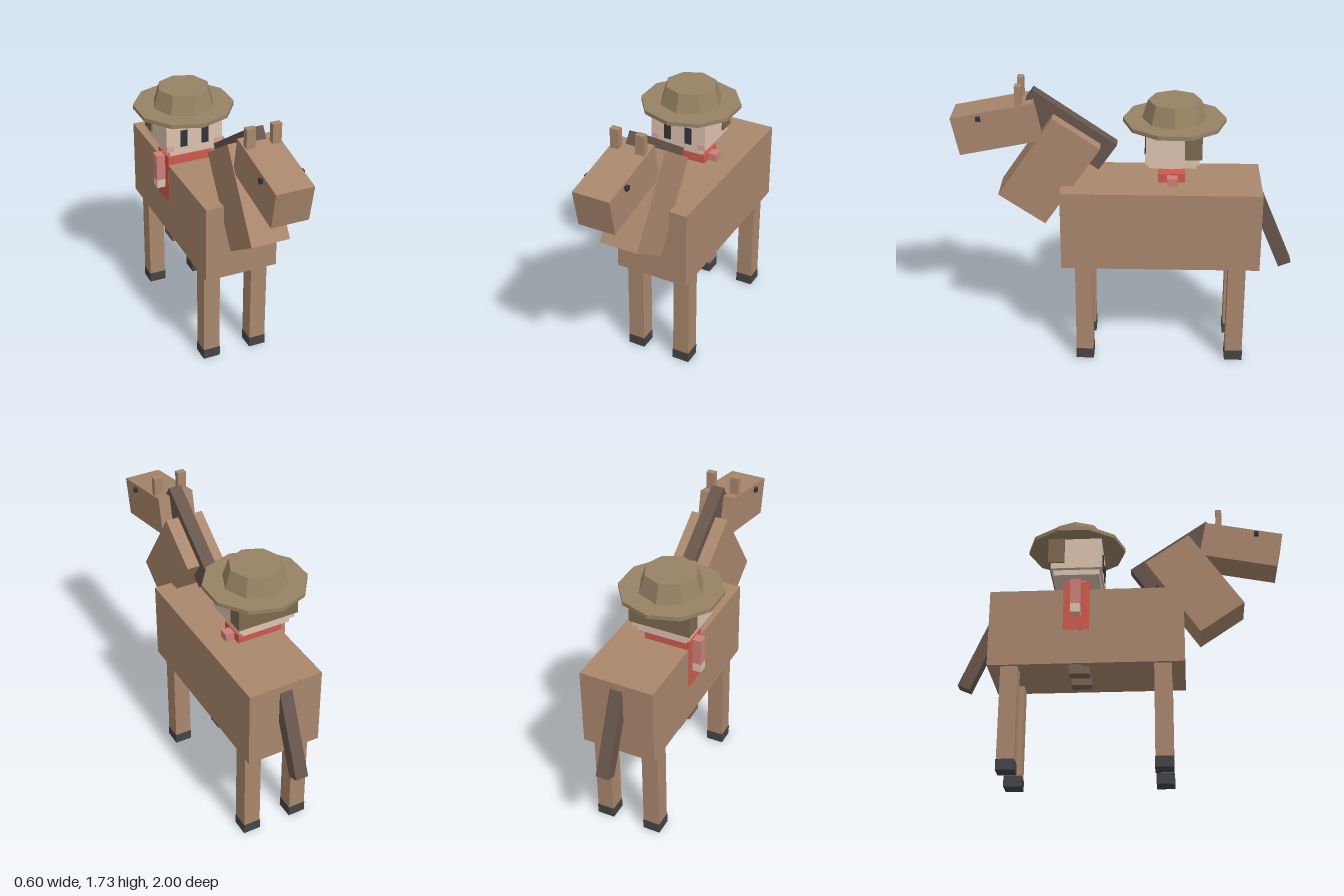
import * as THREE from 'three';

const mat = (color) => new THREE.MeshStandardMaterial({ color, flatShading: true });
const coat = mat(0xa9876d), maneHair = mat(0x67564c), hoofGrey = mat(0x454547), dark = mat(0x33343a);
const skin = mat(0xdcc3b0), hairBrown = mat(0x7d6850), shirtRed = mat(0xcf5a4e), sleeveRed = mat(0xcc807a);
const blush = mat(0xdba7a2), felt = mat(0x978264), denim = mat(0x5f7390), leather = mat(0x7a6453);

// Named box: size, centre and pitch about x
function box(parent, name, material, [w, h, d], [x, y, z], pitch = 0) {
  const mesh = new THREE.Mesh(new THREE.BoxGeometry(w, h, d), material);
  mesh.name = name;
  mesh.position.set(x, y, z);
  mesh.rotation.x = pitch;
  parent.add(mesh);
  return mesh;
}

// Faceted disc or cone section between two heights
function facets(parent, name, material, top, bottom, y0, y1, sides, z) {
  const mesh = new THREE.Mesh(new THREE.CylinderGeometry(top, bottom, y1 - y0, sides), material);
  mesh.name = name;
  mesh.position.set(0, (y0 + y1) / 2, z);
  parent.add(mesh);
}

function makeHorse() {
  const horse = new THREE.Group();
  horse.name = 'horse';
  horse.position.x = 0.073;

  box(horse, 'body', coat, [0.455, 0.485, 1.17], [0, 0.883, -0.207]);
  box(horse, 'neck', coat, [0.235, 0.582, 0.328], [0, 1.213, 0.446], -0.6);
  box(horse, 'mane', maneHair, [0.078, 0.19, 0.583], [0, 1.442, 0.345], -0.606);
  box(horse, 'head', coat, [0.224, 0.23, 0.483], [0, 1.473, 0.741], 0.2);
  box(horse, 'tail', maneHair, [0.078, 0.55, 0.08], [0, 0.835, -0.852], 0.4);

  for (const side of [-1, 1]) {
    box(horse, 'ear', coat, [0.053, 0.13, 0.037], [side * 0.077, 1.665, 0.609]);
    box(horse, 'eye', dark, [0.04, 0.027, 0.026], [side * 0.11, 1.539, 0.838]);
    for (const z of [0.247, -0.662]) {
      box(horse, 'leg', coat, [0.104, 0.6, 0.103], [side * 0.155, 0.36, z]);
      box(horse, 'hoof', hoofGrey, [0.108, 0.065, 0.108], [side * 0.155, 0.0325, z]);
    }
  }
  return horse;
}

function makeRider() {
  const rider = new THREE.Group();
  rider.name = 'rider';
  rider.position.set(-0.016, 0, -0.27);

  // Head
  box(rider, 'face', skin, [0.356, 0.204, 0.31], [0, 1.357, 0]);
  box(rider, 'jaw', skin, [0.302, 0.036, 0.28], [0, 1.239, 0]);
  box(rider, 'neck', skin, [0.136, 0.06, 0.107], [0, 1.2, 0]);
  box(rider, 'hair', hairBrown, [0.378, 0.165, 0.1], [0, 1.373, -0.12]);

  // Hat
  facets(rider, 'hatBrim', felt, 0.302, 0.302, 1.454, 1.478, 10, -0.01);
  facets(rider, 'hatCrown', felt, 0.155, 0.19, 1.478, 1.59, 8, -0.01);

  // Body, mostly sunk into the horse
  box(rider, 'torso', shirtRed, [0.28, 0.32, 0.158], [0, 1.02, 0.003]);

  for (const side of [-1, 1]) {
    box(rider, 'eye', dark, [0.043, 0.105, 0.012], [side * 0.068, 1.334, 0.156]);
    box(rider, 'cheek', blush, [0.046, 0.038, 0.008], [side * 0.155, 1.276, 0.154]);
    box(rider, 'sleeve', sleeveRed, [0.056, 0.165, 0.06], [side * 0.167, 1.09, 0]);
    box(rider, 'hand', skin, [0.052, 0.056, 0.056], [side * 0.167, 0.98, 0]);
    box(rider, 'trouserLeg', denim, [0.068, 0.25, 0.068], [side * 0.087, 0.75, 0.002]);
    box(rider, 'shoe', leather, [0.074, 0.048, 0.122], [side * 0.087, 0.604, 0.024]);
  }
  return rider;
}

export function createModel() {
  const model = new THREE.Group();
  model.name = 'riderOnHorse';
  model.add(makeHorse(), makeRider());
  return model;
}
